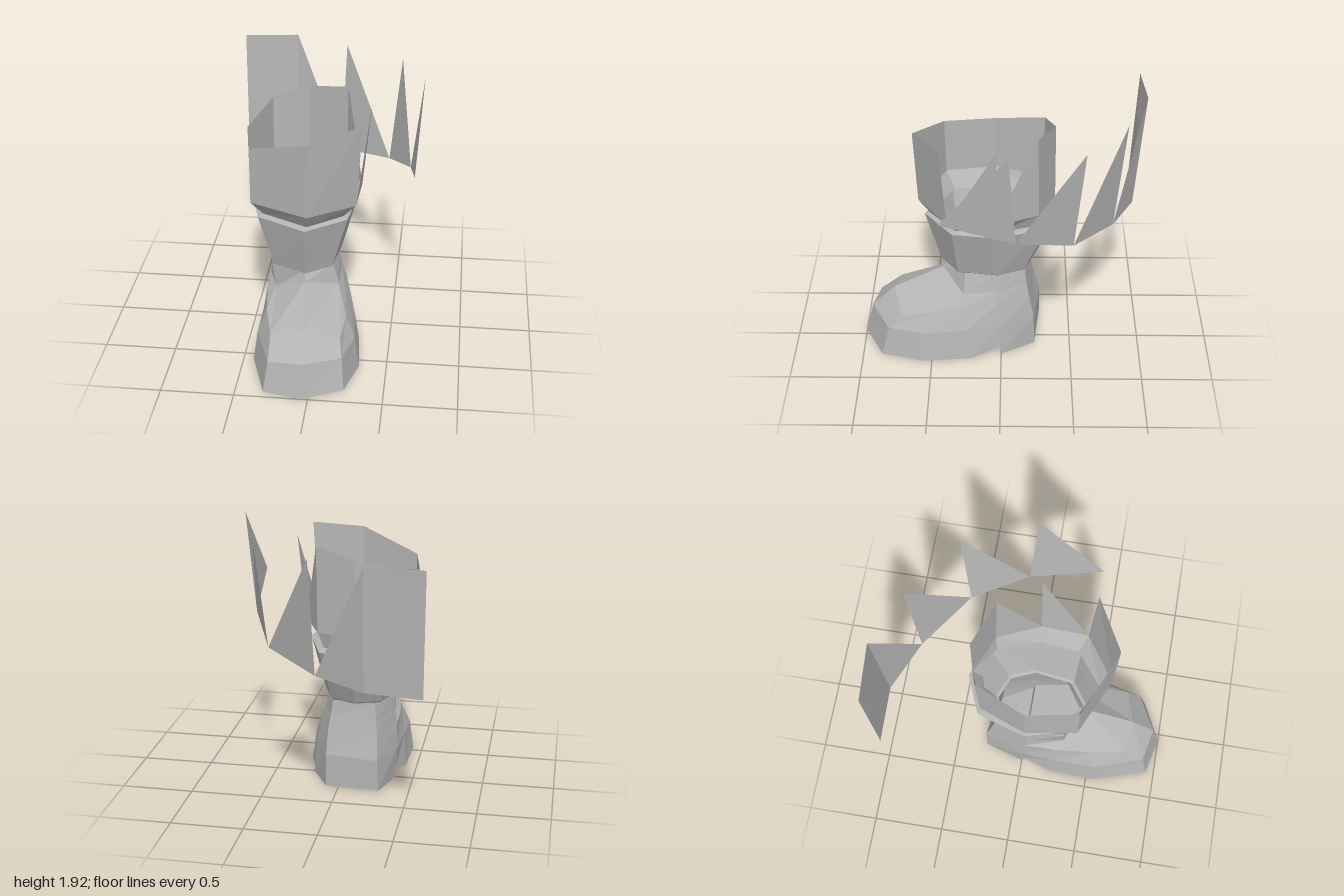
import * as THREE from 'three';

const grey = new THREE.MeshStandardMaterial({ color: 0xb4b4b4, side: THREE.DoubleSide, flatShading: true });
grey.name = 'plain grey';

// Mesh from flat polygons, each a list of [x, y, z] corners, split as fans
function facets(name, polygons) {
  const pos = [];
  for (const p of polygons) {
    for (let i = 1; i < p.length - 1; i++) {
      const [a, b, c] = [p[0], p[i], p[i + 1]].map(v => new THREE.Vector3(...v));
      const area = b.clone().sub(a).cross(c.clone().sub(a)).length();
      if (area > 1e-7) for (const v of [a, b, c]) pos.push(v.x, v.y, v.z);
    }
  }
  const g = new THREE.BufferGeometry();
  g.setAttribute('position', new THREE.Float32BufferAttribute(pos, 3));
  g.computeVertexNormals();
  const mesh = new THREE.Mesh(g, grey);
  mesh.name = name;
  return mesh;
}

// Closed walls between rings listed from bottom to top
function loft(rings) {
  const faces = [];
  for (let r = 0; r < rings.length - 1; r++) {
    const lo = rings[r], hi = rings[r + 1], n = lo.length;
    for (let i = 0; i < n; i++) {
      const j = (i + 1) % n;
      faces.push([lo[i], lo[j], hi[j], hi[i]]);
    }
  }
  return faces;
}

// Level ring from [x, z] pairs
const level = (y, pts) => pts.map(([x, z]) => [x, y, z]);

// Boot: columns run toe, right-hand side, heel, other side
function boot() {
  const sole = [
    [-0.05, 0, 1], [0.23, 0, 0.865], [0.31, 0, 0.57], [0.28, 0, 0.22], [0.22, 0.06, 0.01],
    [0.22, 0, -0.005], [0.09, 0, -0.24], [-0.29, 0.01, -0.28], [-0.37, 0, -0.005],
    [-0.37, 0.06, 0.01], [-0.42, 0, 0.22], [-0.43, 0, 0.56], [-0.31, 0, 0.94]];
  const mid = [
    [-0.05, 0.24, 0.945], [0.21, 0.22, 0.81], [0.275, 0.22, 0.55], [0.25, 0.23, 0.25], [0.2, 0.235, 0],
    [0.09, 0.24, -0.235], [-0.28, 0.235, -0.28],
    [-0.385, 0.23, 0], [-0.4, 0.23, 0.25], [-0.4, 0.22, 0.55], [-0.28, 0.22, 0.9]];
  const upper = [
    [-0.06, 0.395, 0.78], [0.19, 0.315, 0.715], [0.21, 0.36, 0.5], [0.185, 0.4, 0.25], [0.17, 0.41, 0.03],
    [0.08, 0.42, -0.2], [-0.27, 0.42, -0.23],
    [-0.375, 0.41, 0.03], [-0.37, 0.4, 0.25], [-0.34, 0.38, 0.5], [-0.28, 0.34, 0.745]];
  // The front columns merge into one corner on each side of the instep
  const gather = ([f, fr, r, br, bl, l, fl]) => [f, fr, fr, fr, r, br, bl, l, fl, fl, fl];
  const instep = gather([
    [-0.08, 0.565, 0.42], [0.14, 0.475, 0.27], [0.14, 0.5, 0.03], [0.065, 0.52, -0.18],
    [-0.26, 0.52, -0.21], [-0.365, 0.5, 0.035], [-0.3, 0.45, 0.3]]);
  const neck = gather(level(0.63, [
    [-0.09, 0.375], [0.095, 0.255], [0.11, 0.03], [0.05, -0.17], [-0.25, -0.19], [-0.355, 0.04], [-0.325, 0.3]]));
  // Double the heel-front columns so the sole can step there
  const split = r => [...r.slice(0, 5), ...r.slice(4, 8), ...r.slice(7)];
  const walls = loft([sole, ...[mid, upper, instep, neck].map(split)]);
  const pick = (...ids) => ids.map(i => sole[i]);
  const bottom = [
    pick(0, 12, 11, 10, 3, 2, 1), // front sole
    pick(3, 10, 9, 4),            // arch
    pick(4, 9, 8, 5),             // heel front
    pick(5, 8, 7, 6)];            // heel bottom
  return [facets('bootFoot', walls), facets('bootSole', bottom)];
}

// Rings of the cuff and shaft: front, then round through +x, back and -x
const CUFF_LOW = [[-0.075, 0.43], [0.095, 0.31], [0.135, 0.02], [0.06, -0.16], [-0.11, -0.23], [-0.29, -0.16], [-0.37, 0.03], [-0.31, 0.32]];
const CUFF_TOP = [[-0.07, 0.54], [0.2, 0.34], [0.24, 0.03], [0.12, -0.32], [-0.12, -0.41], [-0.39, -0.3], [-0.495, 0.04], [-0.41, 0.36]];
const WAIST = [[-0.06, 0.5], [0.17, 0.32], [0.2, 0.05], [0.1, -0.25], [-0.12, -0.31], [-0.35, -0.24], [-0.42, 0.05], [-0.375, 0.34]];
const SHAFT_LOW = [[-0.05, 0.58], [0.26, 0.37], [0.275, 0.04], [0.14, -0.26], [-0.13, -0.375], [-0.385, -0.28], [-0.51, 0.05], [-0.45, 0.4]];

function cuff() {
  const lip = CUFF_LOW.map(([x, z]) => [-0.115 + (x + 0.115) * 0.93, 0.09 + (z - 0.09) * 0.93]);
  return facets('cuff', loft([level(0.625, lip), level(0.64, CUFF_LOW), level(1.025, CUFF_TOP), level(1.04, WAIST)]));
}

// Shaft with a torn rim on the +x side
function shaft() {
  const low = level(1.15, SHAFT_LOW);
  const rim = [
    [-0.035, 1.69, 0.605], [0.3, 1.755, 0.41], [0.335, 1.755, 0.03], [0.15, 1.75, -0.245],
    [-0.14, 1.69, -0.37], [-0.385, 1.625, -0.3], [-0.515, 1.545, 0.05], [-0.45, 1.555, 0.41]];
  const panels = low.map((p, i) => {
    const j = (i + 1) % 8;
    const torn = i === 1 || i === 2;
    return torn ? [p, low[j], rim[j]] : [p, low[j], rim[j], rim[i]];
  });
  return [facets('shaftBase', loft([level(1.04, WAIST), low])), facets('tornShaft', panels)];
}

// Floating curved band of thin shards behind the boot
function shards() {
  const base = [
    [0.645, 1.4, 0.41], [0.6, 1.225, -0.1], [0.43, 1.1, -0.487], [0.055, 1.025, -0.775],
    [-0.29, 0.99, -0.935], [-0.67, 0.965, -0.93]];
  const tips = [
    [0.68, 1.92, -0.05], [0.505, 1.85, -0.55], [0.085, 1.825, -0.845], [-0.295, 1.83, -1], [-0.68, 1.82, -0.975]];
  const group = new THREE.Group();
  group.name = 'shardBand';
  for (let i = 0; i < 4; i++) group.add(facets('shard' + (i + 1), [[base[i], base[i + 1], tips[i]]]));
  group.add(facets('endPanel', [[base[4], base[5], tips[4], tips[3]]]));
  return group;
}

export function createModel() {
  const model = new THREE.Group();
  model.name = 'tornBoot';
  model.add(...boot(), cuff(), ...shaft(), shards());
  return model;
}
